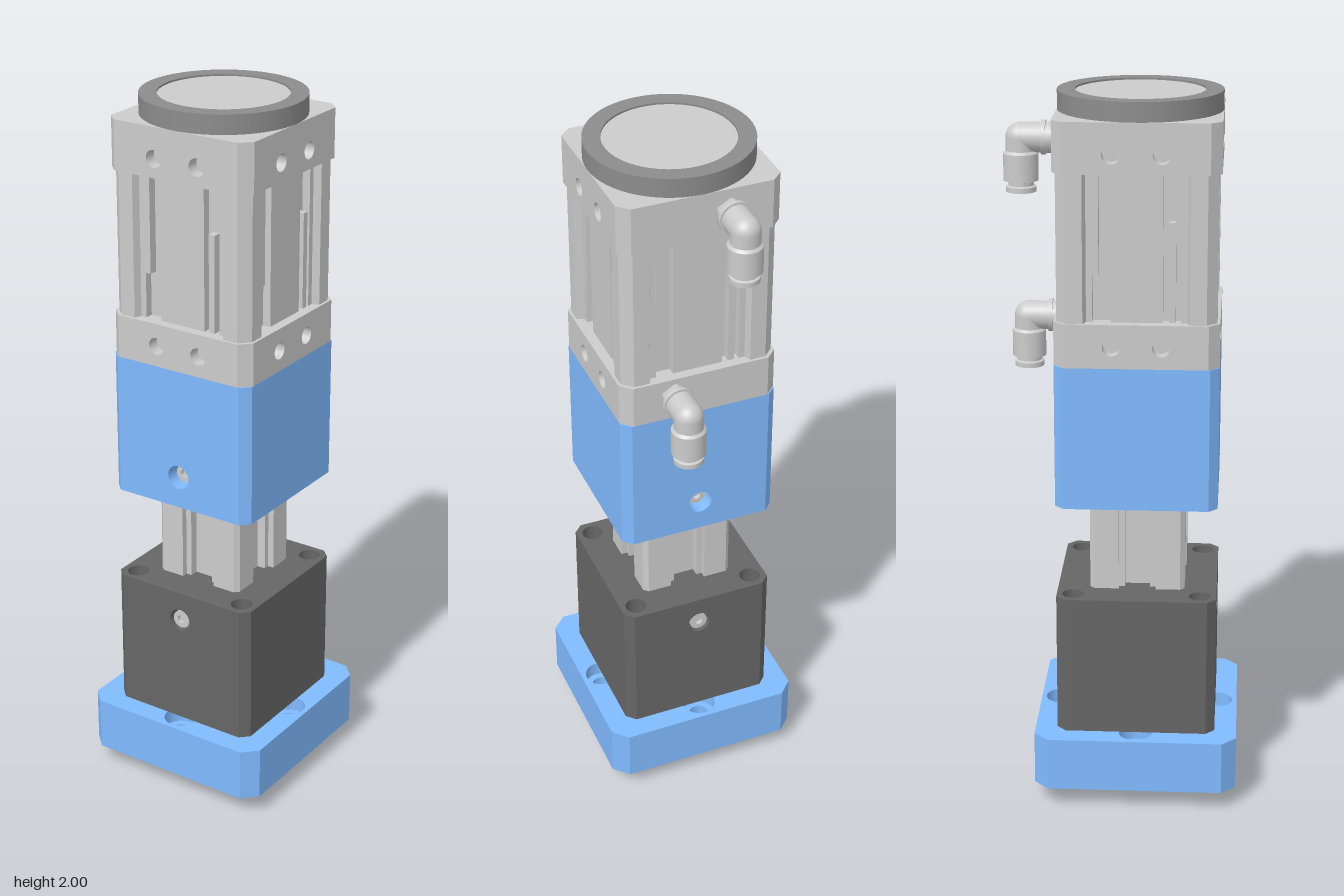
import * as THREE from 'three';

const GREY = 0xcccccc, BLUE = 0x80bbff, DARK = 0x666666, RIM = 0x8c8c8c;
const mats = {};
const mat = (c) => (mats[c] ??= new THREE.MeshStandardMaterial({ color: c, side: THREE.DoubleSide }));
const H = 0.223; // half width of the column

function add(parent, name, geo, color = GREY, x = 0, y = 0, z = 0) {
  const m = new THREE.Mesh(geo, mat(color));
  m.name = name;
  m.position.set(x, y, z);
  parent.add(m);
  return m;
}

function circle(x, y, r) {
  const p = new THREE.Path();
  p.absarc(x, y, r, 0, Math.PI * 2, true);
  return p;
}

// Closed outline from four sides; each side is half a side, corner to centre, then mirrored.
// Side order: back, -x, front, +x.
function outline(sideOf) {
  const pts = [];
  for (let k = 0; k < 4; k++) {
    const half = sideOf(k);
    const side = [...half, ...half.slice().reverse().map(([x, y]) => [-x, y])];
    for (const [x, y] of side)
      pts.push(new THREE.Vector2(x, y).rotateAround(new THREE.Vector2(), k * Math.PI / 2));
  }
  return new THREE.Shape(pts);
}

// Extrude an outline upwards from y0 to y1, with round holes [x, z, r]
function prism(parent, name, shape, y0, y1, color, holes = []) {
  for (const [x, z, r] of holes) shape.holes.push(circle(x, -z, r));
  const geo = new THREE.ExtrudeGeometry(shape, { depth: y1 - y0, bevelEnabled: false, curveSegments: 16 });
  geo.rotateX(-Math.PI / 2);
  return add(parent, name, geo, color, 0, y0, 0);
}

const corners = (d, r) => [[d, d, r], [-d, d, r], [-d, -d, r], [d, -d, r]];
const edges = (d, r) => [[d, 0, r], [-d, 0, r], [0, d, r], [0, -d, r]];

// Chamfered block whose listed sides carry plates with round holes [x, y, r]
function block(parent, name, y0, y1, c, color, { sides = [], w = 0.1, t = 0.035, bores = [], holes = [] }) {
  const g = new THREE.Group();
  g.name = name;
  parent.add(g);
  const shape = outline((k) => sides.includes(k) ? [[H - c, H], [w, H], [w, H - t]] : [[H - c, H]]);
  prism(g, name + 'Core', shape, y0, y1, color, holes);
  for (const k of sides) {
    const plate = new THREE.Shape([[-w, y0], [w, y0], [w, y1], [-w, y1]].map((p) => new THREE.Vector2(...p)));
    for (const b of bores) plate.holes.push(circle(...b));
    const geo = new THREE.ExtrudeGeometry(plate, { depth: t, bevelEnabled: false, curveSegments: 16 });
    geo.translate(0, 0, H - t);
    geo.rotateY(Math.PI + k * Math.PI / 2);
    add(g, name + 'SidePlate', geo, color);
  }
  return g;
}

const lathe = (pts, n = 32) => new THREE.LatheGeometry(pts.map((p) => new THREE.Vector2(...p)), n);

// Lathe with hard edges: each segment is its own mesh
function turned(parent, name, pts, color, x, y, z, n = 32) {
  const g = new THREE.Group();
  g.name = name;
  g.position.set(x, y, z);
  for (let i = 0; i + 1 < pts.length; i++) add(g, name + 'Surface', lathe([pts[i], pts[i + 1]], n), color);
  parent.add(g);
  return g;
}

// Elbow air fitting pointing back and then down
function elbow(parent, x, y) {
  const g = new THREE.Group();
  g.name = 'elbowFitting';
  g.position.set(x, y, 0);
  parent.add(g);
  const along = (name, r, z0, z1, n) => {
    const geo = new THREE.CylinderGeometry(r, r, z0 - z1, n, 1).rotateX(Math.PI / 2);
    add(g, name, n === 6 ? geo.toNonIndexed() : geo, GREY, 0, 0, (z0 + z1) / 2);
  };
  const bend = -H - 0.092;
  along('fittingNut', 0.042, -H, -H - 0.026, 6);
  along('fittingFlange', 0.046, -H - 0.024, -H - 0.036, 32);
  along('fittingArm', 0.04, -H - 0.03, bend, 32);
  add(g, 'fittingBend', new THREE.SphereGeometry(0.04, 32, 20), GREY, 0, 0, bend);
  turned(g, 'fittingSocket', [[0.04, 0], [0.04, -0.035], [0.047, -0.042], [0.047, -0.115], [0.034, -0.118],
    [0.034, -0.128], [0.041, -0.131], [0.041, -0.145], [0.024, -0.147], [0.024, -0.09], [0, -0.09]], GREY, 0, 0, bend);
}

export function createModel() {
  const root = new THREE.Group();
  root.name = 'pneumaticActuator';
  const body = new THREE.Group();
  body.name = 'column';
  body.position.z = 0.037;
  root.add(body);

  // Mounting flange: drilled plate with counterbored edge holes
  const flange = () => outline(() => [[0.245, 0.285]]);
  const through = corners(0.185, 0.026);
  prism(body, 'flangeLower', flange(), 0.06, 0.17, BLUE, [...through, ...edges(0.225, 0.028), [0, 0, 0.075]]);
  prism(body, 'flangeUpper', flange(), 0.17, 0.213, BLUE, [...through, ...edges(0.225, 0.047)]);

  // Dowel pins below the flange
  for (const [x, z] of corners(0.1, 0))
    turned(body, 'dowelPin', [[0.02, 0.1], [0.02, 0.006], [0.015, 0], [0, 0]], GREY, x, 0.003, z, 20);

  // Lower dark block and middle blue block, with side bores front and back
  block(body, 'lowerBlock', 0.213, 0.615, 0.025, DARK,
    { sides: [0, 2], w: 0.08, t: 0.045, bores: [[0, 0.53, 0.033]], holes: corners(0.177, 0.03) });
  block(body, 'middleBlock', 0.885, 1.287, 0.025, BLUE,
    { sides: [0, 2], w: 0.08, t: 0.045, bores: [[0, 0.975, 0.034]], holes: corners(0.177, 0.028) });

  // Socket screws in the side bores
  for (const s of [1, -1]) {
    for (const [y, inset] of [[0.53, 0.006], [0.975, 0.03]]) {
      const screw = turned(body, 'setScrew', [[0.026, -0.015], [0.026, 0], [0.012, 0], [0.012, -0.012], [0, -0.012]],
        GREY, 0, y, s * (H - inset), 24);
      screw.rotation.x = s * Math.PI / 2;
    }
  }

  // Slotted guide rail between the blocks
  prism(body, 'guideRail', outline(() => [[0.12, 0.133], [0.052, 0.133], [0.052, 0.115], [0.035, 0.115], [0.035, 0.09]]),
    0.6, 0.9, GREY);

  // End caps with screw bores on front and both sides
  const capBores = (y) => [[-0.067, y, 0.024], [0.067, y, 0.024]];
  block(body, 'lowerCap', 1.287, 1.408, 0.03, GREY, { sides: [1, 2, 3], w: 0.12, bores: capBores(1.345) });
  block(body, 'upperCap', 1.81, 1.947, 0.03, GREY, { sides: [1, 2, 3], w: 0.12, bores: capBores(1.862) });

  // Cylinder barrel with corner posts and sensor slots
  prism(body, 'barrel', outline(() => [[0.187, 0.215], [0.143, 0.215], [0.135, 0.195], [0.118, 0.195], [0.118, 0.172],
    [0.07, 0.172], [0.07, 0.195]]), 1.4, 1.82, GREY);
  for (let k = 0; k < 4; k++) {
    const g = new THREE.Group();
    g.name = 'slotStrips';
    g.rotation.y = k * Math.PI / 2;
    body.add(g);
    add(g, 'slotStrip', new THREE.BoxGeometry(0.018, 0.27, 0.03), GREY, -0.11, 1.67, 0.182);
    add(g, 'slotStrip', new THREE.BoxGeometry(0.018, 0.27, 0.03), GREY, 0.095, 1.545, 0.182);
  }

  // Round end cover
  turned(body, 'coverRim', [[H, 1.945], [H, 2], [0.175, 2], [0.175, 1.945]], RIM, 0, 0, 0, 64);
  add(body, 'coverDisc', new THREE.CylinderGeometry(0.175, 0.175, 0.05, 64), GREY, 0, 1.97, 0);

  // Air fittings on the back
  elbow(body, -0.075, 1.88);
  elbow(body, 0.075, 1.352);
  return root;
}
